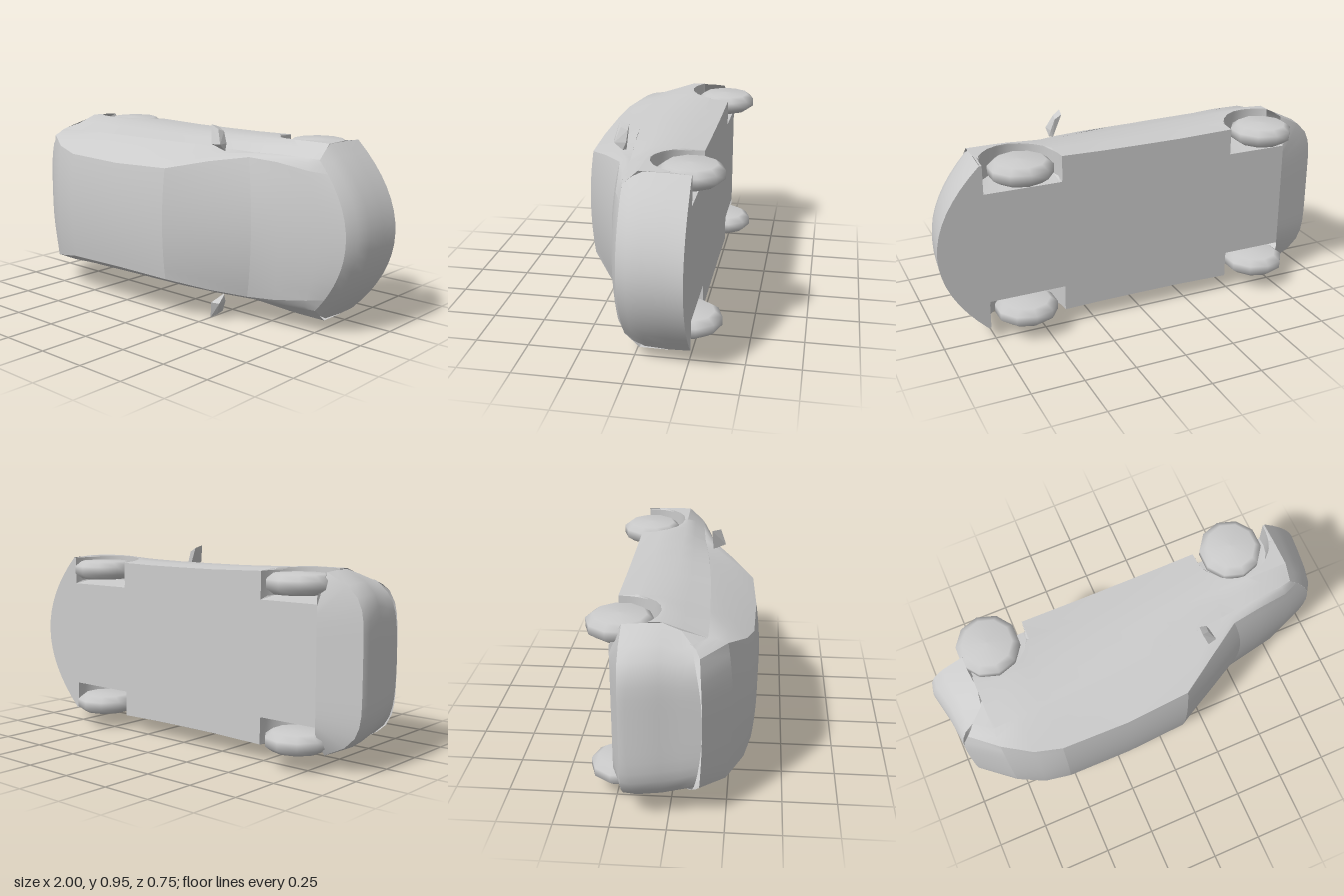
import * as THREE from 'three';
import { toCreasedNormals } from 'three/addons/utils/BufferGeometryUtils.js';
import { ConvexGeometry } from 'three/addons/geometries/ConvexGeometry.js';

const MID = 0.473; // centre line of the car, which lies on its side along y
const material = new THREE.MeshStandardMaterial({ color: 0xcccccc, side: THREE.DoubleSide });
// Car coordinates: x forward, w across, h towards the roof
const at = (x, w, h) => new THREE.Vector3(x, MID + w, h);
const { lerp } = THREE.MathUtils;

// Skin over a grid of points: rows of equal length
function skin(rows, crease = 0.6) {
  const n = rows[0].length, index = [];
  for (let i = 0; i < rows.length - 1; i++) {
    for (let j = 0; j < n - 1; j++) {
      const a = i * n + j, b = a + n;
      index.push(a, b, a + 1, b, b + 1, a + 1);
    }
  }
  const g = new THREE.BufferGeometry().setFromPoints(rows.flat());
  g.setIndex(index);
  return toCreasedNormals(g, crease);
}

// Upper stations: x, belt w, belt h, rail w, rail h, centre h, plan bend
const upper = [
  [-0.95, 0.35, 0.10, 0.31, 0.135, 0.148, 45],
  [-0.79, 0.35, 0.16, 0.33, 0.245, 0.27, 0],
  [-0.66, 0.36, 0.16, 0.295, 0.32, 0.345, 0],
  [-0.53, 0.36, 0.155, 0.27, 0.35, 0.37, 0],
  [-0.20, 0.36, 0.14, 0.262, 0.355, 0.375, 0],
  [0.11, 0.36, 0.115, 0.27, 0.335, 0.355, 0],
  [0.30, 0.355, 0.095, 0.31, 0.225, 0.26, 0.15],
  [0.49, 0.35, 0.075, 0.335, 0.125, 0.158, 0.4],
  [0.62, 0.355, 0.062, 0.325, 0.10, 0.125, 0.3],
  [0.80, 0.352, 0.05, 0.30, 0.075, 0.085, 0.6],
  [0.93, 0.35, 0.04, 0.29, 0.04, 0.04, 1.25],
];
const bent = (x, w, k) => x < 0 ? x + k * w ** 6 : x - k * w * w;

// Belt line height and width at any x
function beltAt(x) {
  const pts = upper.map(([sx, w, h, , , , k]) => [bent(sx, w, k), w, h]);
  const i = Math.max(1, pts.findIndex(p => p[0] >= x));
  const [a, b] = x > pts.at(-1)[0] ? [pts.at(-1), pts.at(-1)] : [pts[i - 1], pts[i]];
  const t = b[0] > a[0] ? (x - a[0]) / (b[0] - a[0]) : 0;
  return [lerp(a[1], b[1], t), lerp(a[2], b[2], t)];
}

// Wheel arches and lower body outline
const WHEELS = [-0.67, 0.585], AXLE = -0.23, ARCH = 0.185, FLOOR = -0.258;
function bottomAt(x) {
  let h = FLOOR;
  for (const c of WHEELS) {
    const d = ARCH * ARCH - (x - c) ** 2;
    if (d > 0) h = Math.max(h, AXLE + Math.sqrt(d));
  }
  return h;
}
const sideWidth = x => 0.399 + 0.015 * Math.min(1, Math.abs(x / 0.6) ** 3);

const stations = [-0.87, -0.79, -0.2, 0, 0.2, 0.78];
for (const c of WHEELS) {
  for (const s of [-1, 1]) stations.push(c + s * (ARCH + 0.002));
  for (let i = 0; i <= 10; i++) stations.push(c + ARCH * Math.cos(i / 10 * Math.PI) * 0.995);
}
const xs = stations.filter(x => x >= -0.79 || x === -0.87).sort((a, b) => a - b);

export function createModel() {
  const car = new THREE.Group();
  car.name = 'car';
  const add = (name, geometry) => {
    const mesh = new THREE.Mesh(geometry, material);
    mesh.name = name;
    car.add(mesh);
    return mesh;
  };

  // Panels across the top, each between two stations
  const cross = ([x, , , rw, rh, ch, k]) => {
    const row = [];
    for (let i = -6; i <= 6; i++) {
      const u = i / 6, w = u * rw;
      row.push(at(bent(x, w, k), w, lerp(ch, rh, u * u)));
    }
    return row;
  };
  const panels = { tailgate: [0, 1], rearWindow: [1, 3], roof: [3, 5], windshield: [5, 7], hood: [7, 10] };
  for (const [name, [from, to]] of Object.entries(panels)) {
    add(name, skin(upper.slice(from, to + 1).map(cross)));
  }

  // Side windows and fender tops, body sides
  for (const s of [-1, 1]) {
    const side = s > 0 ? 'Upper' : 'Lower';
    add('sideWindows' + side, skin(upper.map(([x, bw, bh, rw, rh, , k]) => [0, 0.5, 1].map(t => {
      const w = lerp(bw, rw, t) + 0.03 * t * (1 - t);
      return at(bent(x, w, k), s * w, lerp(bh, rh, t));
    }))));
    add('bodySide' + side, skin(xs.map(x => {
      const [bw, bh] = beltAt(x), lx = Math.max(x, -0.79);
      const W = sideWidth(lx), b = bottomAt(lx);
      return [
        at(x, s * bw, bh),
        at(lx, s * lerp(bw, W, 0.55), lerp(bh, -0.03, 0.55)),
        at(lx, s * W, -0.03),
        at(lx, s * W, Math.max(-0.16, b)),
        at(lx, s * (W - 0.008), b),
      ];
    })));
  }

  // Underside with wheel wells
  const floorRow = x => {
    const b = bottomAt(x), W = sideWidth(x) - 0.008;
    const half = [[W, b], [0.285, b], [0.27, FLOOR], [0.13, FLOOR]];
    return [...half.map(([w, h]) => at(x, -w, h)), at(x, 0, FLOOR),
      ...half.reverse().map(([w, h]) => at(x, w, h))];
  };
  add('floor', skin(xs.slice(1).map(floorRow), 0.4));

  // Bumpers: rows of x, half width, centre h, edge h, bend
  const bumper = (name, rows) => add(name, skin(rows.map(([x, W, hc, he, k]) => {
    const row = [];
    for (let i = -8; i <= 8; i++) {
      const u = i / 8, w = u * W;
      row.push(at(bent(x, w, k), w, lerp(hc, he, u * u)));
    }
    return row;
  }), 0.8));
  bumper('frontBumper', [
    [0.93, 0.35, 0.04, 0.04, 1.25],
    [0.962, 0.385, -0.01, 0.0, 1.25],
    [0.978, 0.41, -0.08, -0.05, 1.22],
    [0.99, 0.412, -0.17, -0.16, 1.23],
    [1.0, 0.408, FLOOR, FLOOR, 1.3],
    [0.78, 0.405, FLOOR, FLOOR, 0],
  ]);
  bumper('rearBumper', [
    [-0.95, 0.35, 0.148, 0.10, 45],
    [-0.958, 0.385, 0.06, 0.05, 48],
    [-0.968, 0.41, -0.03, -0.03, 38],
    [-0.998, 0.41, -0.17, -0.13, 42],
    [-0.99, 0.405, -0.2, -0.2, 43],
    [-0.79, 0.30, FLOOR, FLOOR, 0],
  ]);

  // Wheels with ten sides and rounded shoulders
  const profile = [[0, -0.047], [0.115, -0.045], [0.15, -0.02], [0.15, 0.02], [0.118, 0.044], [0, 0.05]]
    .map(([r, y]) => new THREE.Vector2(r, y));
  const tyre = new THREE.LatheGeometry(profile, 10);
  for (const x of WHEELS) {
    for (const s of [-1, 1]) {
      const wheel = add(x > 0 ? 'frontWheel' : 'rearWheel', tyre);
      wheel.position.copy(at(x, s * 0.352, AXLE + 0.005));
      if (s < 0) wheel.rotation.x = Math.PI;
    }
  }

  // Wing mirrors: flat wedges on a narrow foot
  for (const s of [-1, 1]) {
    const corners = [
      [0.30, 0.35, 0.125], [0.315, 0.35, 0.14],
      [0.275, 0.385, 0.19], [0.318, 0.385, 0.18], [0.31, 0.385, 0.125],
      [0.25, 0.473, 0.165], [0.285, 0.452, 0.155], [0.255, 0.46, 0.12], [0.29, 0.44, 0.12],
    ];
    add('wingMirror', new ConvexGeometry(corners.map(([x, w, h]) => at(x, s * w, h))));
  }
  return car;
}
